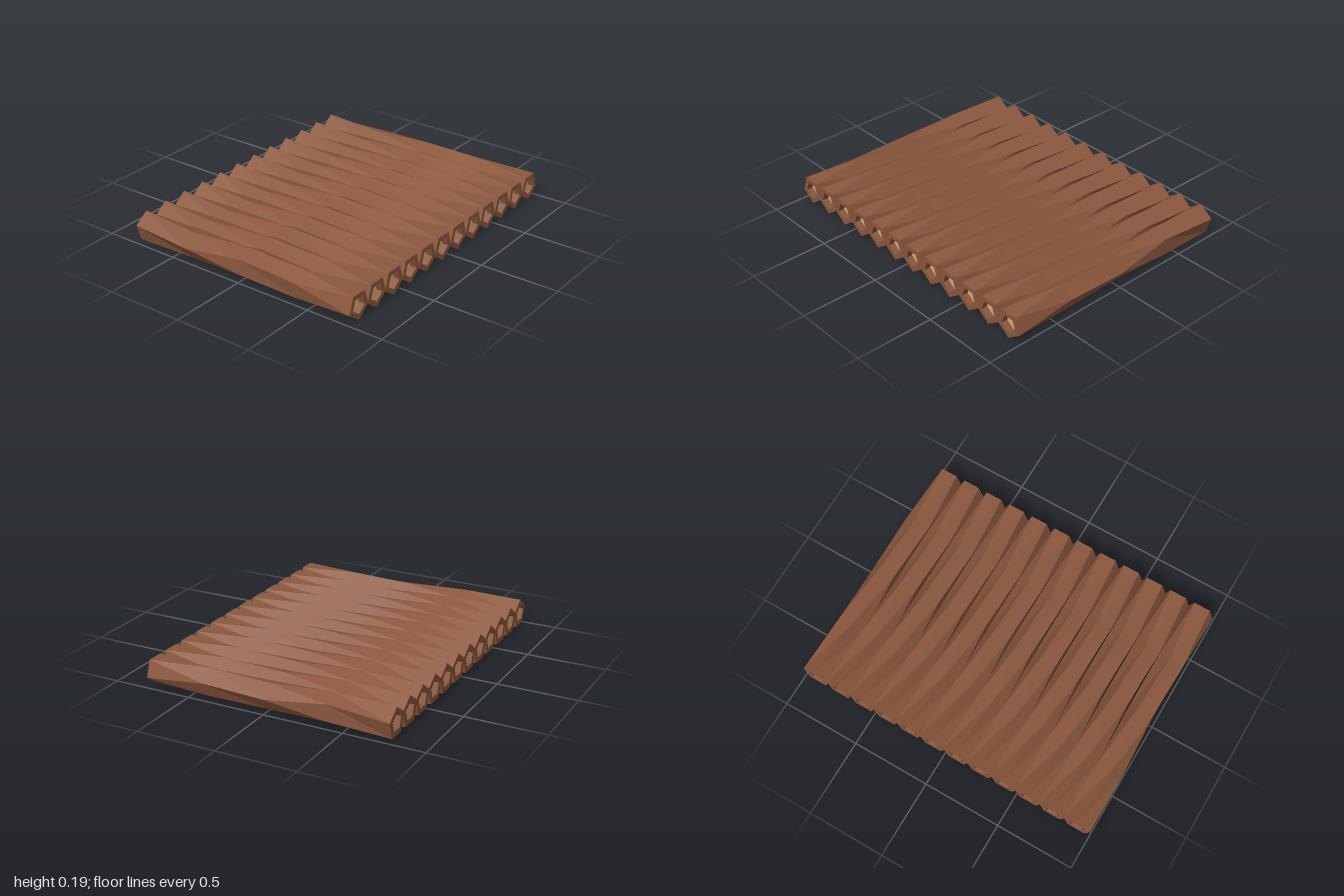
import * as THREE from 'three';

const SIDES = 5, LOGS = 12, PITCH = 0.1655, AXIS_Y = 0.096;
const HALF = 0.785, RECESS = 0.04, INNER = 0.056;
const rad = THREE.MathUtils.degToRad;

// Skin through a row of pentagon rings [x, radius, angle in degrees]
function loft(rings) {
  const point = ([x, r, deg], k) => {
    const a = rad(deg + (k * 360) / SIDES);
    return [x, r * Math.sin(a), r * Math.cos(a)];
  };
  const pos = [];
  for (let i = 0; i < rings.length - 1; i++) {
    for (let k = 0; k < SIDES; k++) {
      const a = point(rings[i], k), b = point(rings[i], k + 1);
      const c = point(rings[i + 1], k), d = point(rings[i + 1], k + 1);
      pos.push(...a, ...c, ...b, ...b, ...c, ...d);
    }
  }
  const geo = new THREE.BufferGeometry();
  geo.setAttribute('position', new THREE.Float32BufferAttribute(pos, 3));
  geo.computeVertexNormals();
  return geo;
}

export function createModel() {
  const bark = new THREE.MeshStandardMaterial({ color: 0x8b573d });
  bark.name = 'bark brown';
  const heart = new THREE.MeshStandardMaterial({ color: 0xd8ae7a });
  heart.name = 'cut wood tan';

  // Twisting log body with a recess sunk into each end
  const body = loft([
    [-HALF + RECESS, INNER, 90],
    [-HALF, INNER, 90],
    [-HALF, 0.094, 90],
    [-0.393, 0.09, 72.5],
    [0, 0.0865, 108],
    [0.393, 0.088, 98],
    [HALF, 0.091, 126],
    [HALF, INNER, 126],
    [HALF - RECESS, INNER, 126],
  ]);

  // Pale cut faces at the bottom of the recesses
  const leftCut = new THREE.CircleGeometry(INNER, SIDES, rad(54));
  leftCut.rotateY(Math.PI / 2).translate(HALF - RECESS, 0, 0);
  const rightCut = new THREE.CircleGeometry(INNER, SIDES, rad(90));
  rightCut.rotateY(-Math.PI / 2).translate(-HALF + RECESS, 0, 0);

  const model = new THREE.Group();
  model.name = 'logRaft';
  for (let i = 0; i < LOGS; i++) {
    const log = new THREE.Group();
    log.name = `log${i + 1}`;
    const parts = [['logBody', body, bark], ['leftCutFace', leftCut, heart], ['rightCutFace', rightCut, heart]];
    for (const [name, geo, mat] of parts) {
      const mesh = new THREE.Mesh(geo, mat);
      mesh.name = name;
      log.add(mesh);
    }
    log.position.set(0, AXIS_Y, (i - (LOGS - 1) / 2) * PITCH);
    model.add(log);
  }
  return model;
}
